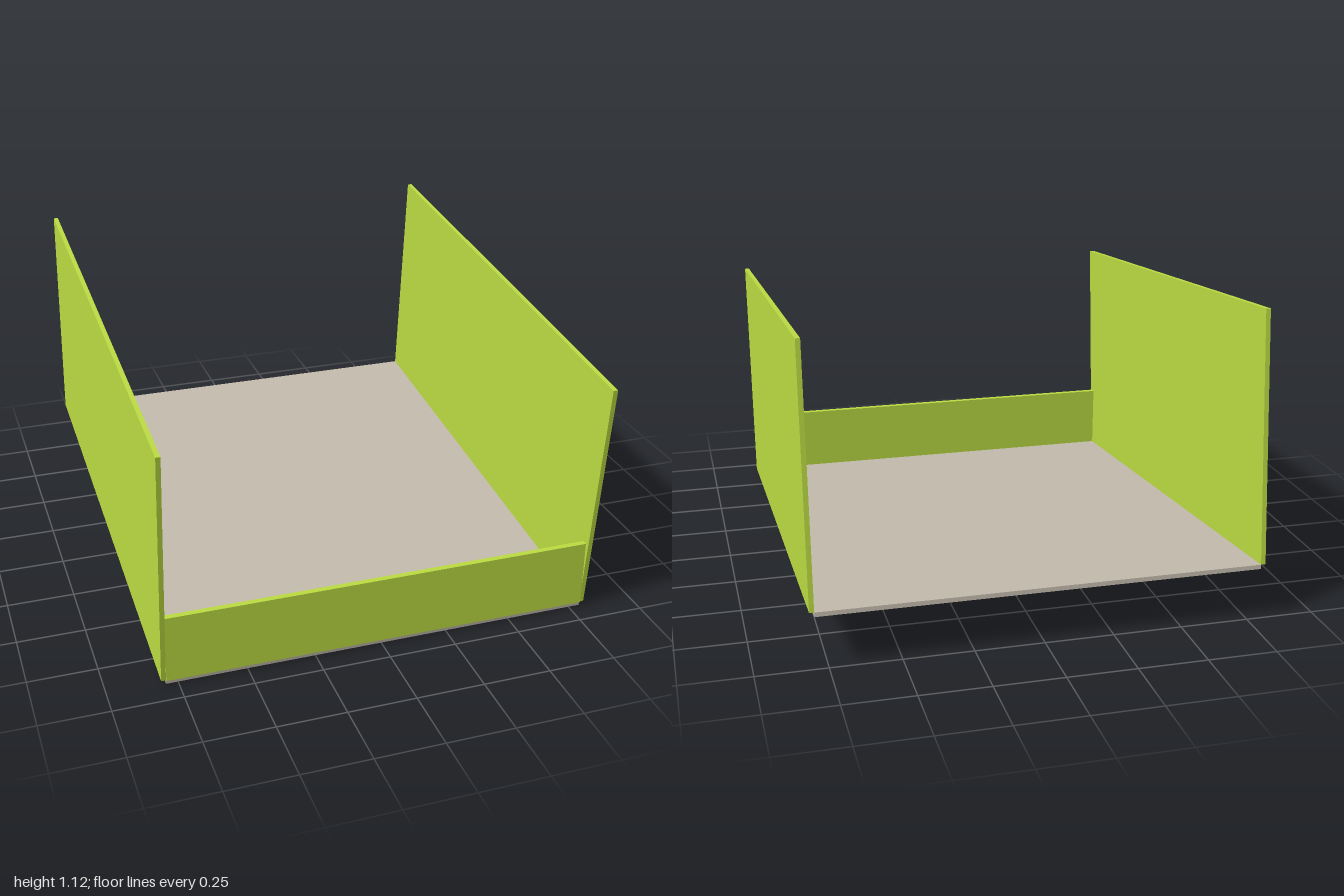
import * as THREE from 'three';

export function createModel() {
  const model = new THREE.Group();
  const green = new THREE.MeshStandardMaterial({ color: 0xbcdc42 });
  const beige = new THREE.MeshStandardMaterial({ color: 0xc4bcae });

  const length = 1.917, height = 0.915, wall = 0.017, inner = 0.793, floorThickness = 0.016;

  function panel(name, parent, size, position, material) {
    const mesh = new THREE.Mesh(new THREE.BoxGeometry(...size), material);
    mesh.name = name;
    mesh.position.set(...position);
    parent.add(mesh);
  }

  // Sloping tray, pivoting on the front edge of the floor's top face
  const tray = new THREE.Group();
  tray.name = 'tray';
  tray.position.set(0, 0.016, 0.91);
  tray.rotation.x = 0.1;
  model.add(tray);

  panel('floor', tray, [inner * 2, floorThickness, length], [0, -floorThickness / 2, -length / 2], beige);

  // Tall side walls stand just outside the floor
  for (const [name, side] of [['leftWall', 1], ['rightWall', -1]]) {
    panel(name, tray, [wall, height, length], [side * (inner + wall / 2), height / 2, -length / 2], green);
  }

  // Low front wall stays upright
  panel('frontWall', model, [inner * 2, 0.253, 0.022], [0, 0.1445, 0.907], green);

  return model;
}
